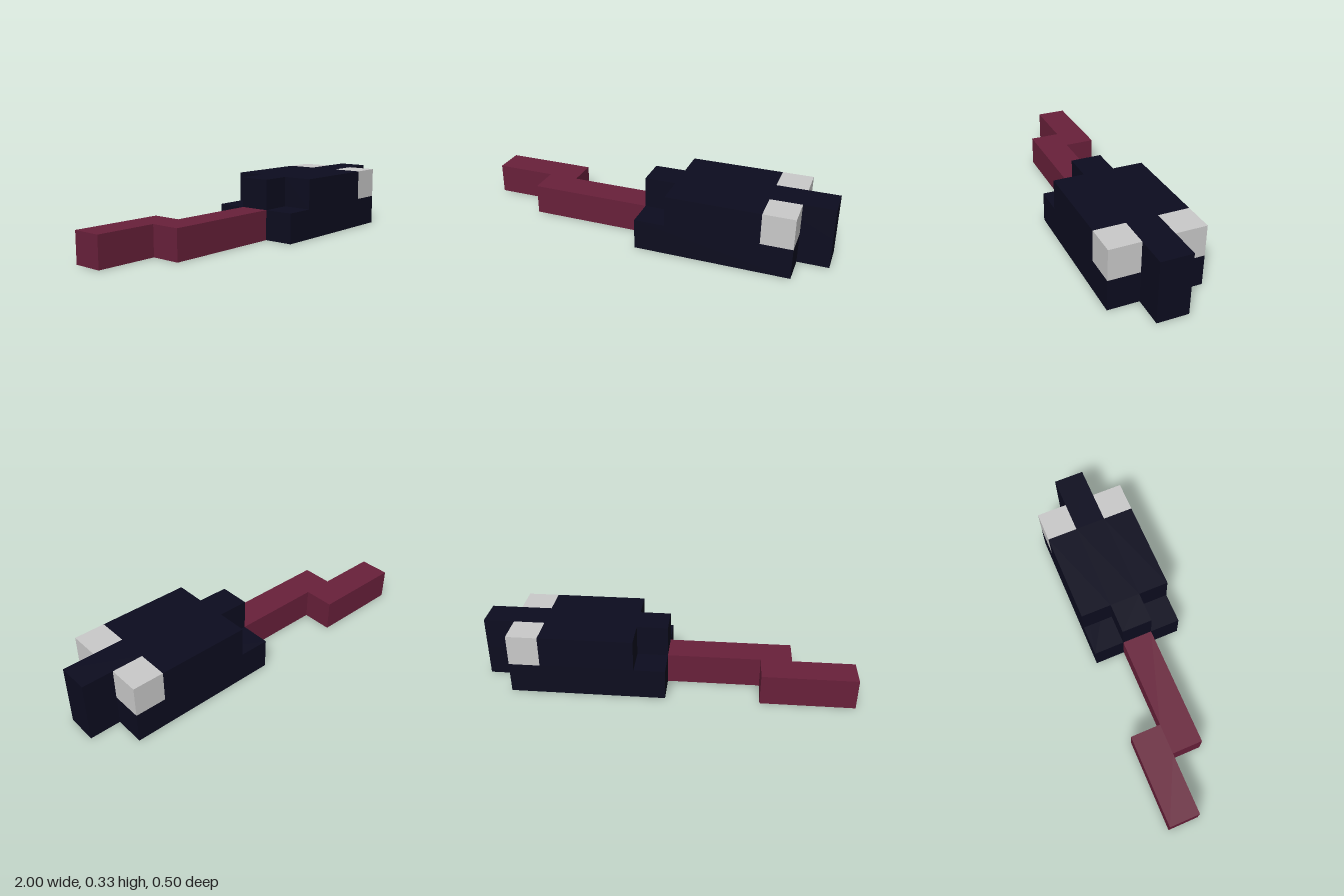
import * as THREE from 'three';

const U = 1 / 6; // size of one block

const navy = new THREE.MeshStandardMaterial({ color: 0x0c0c1f });
navy.name = 'navy';
const maroon = new THREE.MeshStandardMaterial({ color: 0x68203a });
maroon.name = 'maroon';
const paleGrey = new THREE.MeshStandardMaterial({ color: 0xc9c9c9 });
paleGrey.name = 'paleGrey';

// One block-high slab from a plan outline of [x, z] points in block units
function slab(name, outline, level, material) {
  const shape = new THREE.Shape(outline.map(([x, z]) => new THREE.Vector2(x * U, z * U)));
  const geometry = new THREE.ExtrudeGeometry(shape, { depth: U, bevelEnabled: false });
  geometry.rotateX(Math.PI / 2);
  const mesh = new THREE.Mesh(geometry, material);
  mesh.name = name;
  mesh.position.y = (level + 1) * U;
  return mesh;
}

// Complete an outline that is symmetric about z = 0
function mirrored(half) {
  return [...half, ...half.slice().reverse().map(([x, z]) => [x, -z])];
}

export function createModel() {
  const model = new THREE.Group();
  model.name = 'blockCreature';

  // Body: broad belly, stepped back, and a narrow snout at +x
  const belly = mirrored([[0, 1.5], [5, 1.5], [5, 0.5], [6, 0.5]]);
  const back = mirrored([[0, 0.5], [1, 0.5], [1, 1.5], [4, 1.5], [4, 0.5], [6, 0.5]]);
  model.add(slab('belly', belly, 0, navy));
  model.add(slab('back', back, 1, navy));

  // Eyes on both sides of the snout
  for (const [side, name] of [[1, 'frontEye'], [-1, 'rearEye']]) {
    const eye = new THREE.Mesh(new THREE.BoxGeometry(U, U, U), paleGrey);
    eye.name = name;
    eye.position.set(4.5 * U, 1.5 * U, side * U);
    model.add(eye);
  }

  // Kinked tail
  const tail = [
    [0, 0.5], [-4, 0.5], [-4, -0.5], [-6, -0.5],
    [-6, -1.5], [-3, -1.5], [-3, -0.5], [0, -0.5],
  ];
  model.add(slab('tail', tail, 0, maroon));

  return model;
}
